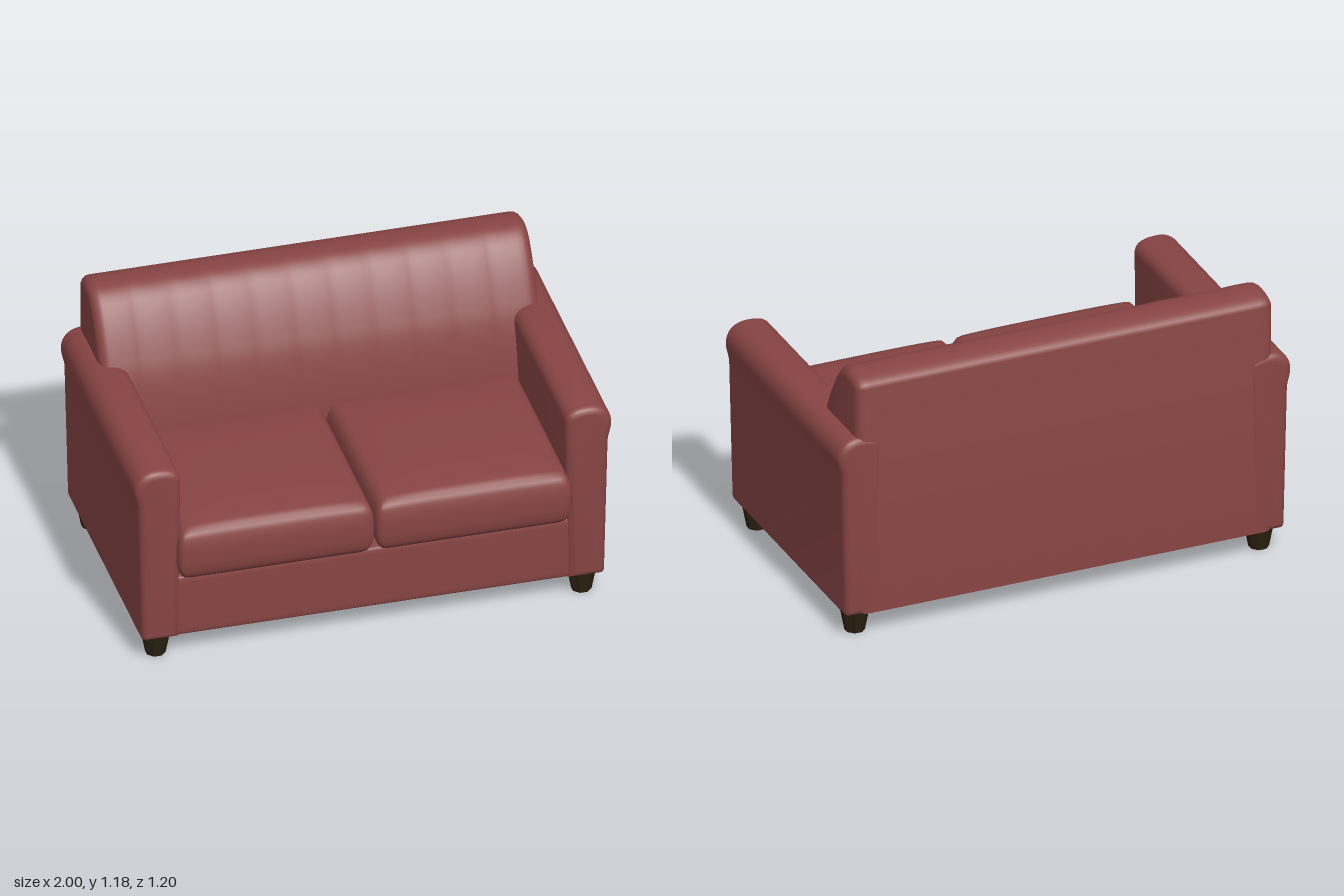
import * as THREE from 'three';
import { mergeVertices, toCreasedNormals } from 'three/addons/utils/BufferGeometryUtils.js';

const fabric = new THREE.MeshStandardMaterial({ color: 0x884444 });
fabric.name = 'red fabric';
const wood = new THREE.MeshStandardMaterial({ color: 0x2b2010 });
wood.name = 'dark wood';

function part(name, geometry, material) {
  const mesh = new THREE.Mesh(geometry, material);
  mesh.name = name;
  return mesh;
}

// Upholstered box with elliptical edge rounding and an optional domed top
function softBox(size, radius, crown = 0) {
  let g = new THREE.BoxGeometry(2, 2, 2, 24, 14, 24);
  g.deleteAttribute('uv');
  g.deleteAttribute('normal');
  g = mergeVertices(g);
  const pos = g.attributes.position;
  const half = size.map((s) => s / 2);
  for (let i = 0; i < pos.count; i++) {
    const unit = [pos.getX(i), pos.getY(i), pos.getZ(i)];
    // crowd the grid towards the edges, then round them
    const p = unit.map((t, k) => half[k] * Math.sin(t * Math.PI / 2));
    const inner = p.map((v, k) => THREE.MathUtils.clamp(v, radius[k] - half[k], half[k] - radius[k]));
    const dir = new THREE.Vector3(...p.map((v, k) => (v - inner[k]) / radius[k])).normalize().toArray();
    const out = inner.map((v, k) => v + dir[k] * radius[k]);
    if (out[1] > 0) {
      const u = out[0] / half[0], w = out[2] / half[2];
      out[1] += crown * (1 - u ** 4) * (1 - w ** 4) * out[1] / half[1];
    }
    pos.setXYZ(i, ...out);
  }
  g.computeVertexNormals();
  return g;
}

// Extrusion with rounded ends that keeps the outline's size
function extrude(shape, length, bevel, steps, curveSegments = 10) {
  const g = new THREE.ExtrudeGeometry(shape, {
    depth: length - 2 * bevel, steps, curveSegments,
    bevelThickness: bevel, bevelSize: bevel, bevelOffset: -bevel, bevelSegments: 4,
  });
  return g.translate(0, 0, bevel - length / 2);
}

// Arm: straight panel with a rounded, slightly flared top
function armGeometry() {
  const s = new THREE.Shape();
  s.moveTo(0.815, 0.105);
  s.lineTo(0.95, 0.105);
  s.quadraticCurveTo(0.97, 0.105, 0.97, 0.13);
  s.lineTo(0.985, 0.74);
  s.bezierCurveTo(0.99, 0.78, 1.0, 0.79, 1.0, 0.83);
  s.bezierCurveTo(0.995, 0.885, 0.955, 0.912, 0.905, 0.912);
  s.bezierCurveTo(0.86, 0.912, 0.805, 0.905, 0.805, 0.85);
  s.lineTo(0.815, 0.105);
  const g = extrude(s, 1.16, 0.03, 1).translate(0, 0, -0.02);
  return toCreasedNormals(g, 0.7);
}

// Back: side profile run across the width, with soft vertical channels in front
function backGeometry() {
  const s = new THREE.Shape();
  s.moveTo(-0.6, 0.11);
  s.lineTo(-0.2, 0.11);
  s.lineTo(-0.175, 0.58);
  s.bezierCurveTo(-0.19, 0.72, -0.22, 0.85, -0.255, 0.92);
  s.bezierCurveTo(-0.30, 1.02, -0.345, 1.09, -0.38, 1.13);
  s.bezierCurveTo(-0.42, 1.17, -0.45, 1.178, -0.485, 1.178);
  s.bezierCurveTo(-0.54, 1.178, -0.595, 1.16, -0.597, 1.13);
  s.lineTo(-0.6, 0.11);
  const g = extrude(s, 1.84, 0.04, 90).rotateY(-Math.PI / 2);
  const pos = g.attributes.position;
  for (let i = 0; i < pos.count; i++) {
    const front = THREE.MathUtils.smoothstep(pos.getZ(i), -0.52, -0.4);
    const rib = Math.abs(Math.cos(pos.getX(i) * Math.PI / 0.165)) ** 0.6 - 1;
    pos.setZ(i, pos.getZ(i) + 0.006 * rib * front);
  }
  return toCreasedNormals(g, 0.7);
}

export function createModel() {
  const sofa = new THREE.Group();
  sofa.name = 'sofa';

  const base = part('base', softBox([1.7, 0.285, 1.13], [0.02, 0.02, 0.02]), fabric);
  base.position.set(0, 0.2475, -0.02);
  sofa.add(base, part('backrest', backGeometry(), fabric));

  // Arms
  const arm = armGeometry();
  const leftArm = part('leftArm', arm, fabric);
  const rightArm = part('rightArm', arm, fabric);
  rightArm.rotation.y = Math.PI;
  rightArm.position.z = -0.04;
  sofa.add(leftArm, rightArm);

  // Seat cushions
  const cushion = softBox([0.828, 0.23, 0.83], [0.045, 0.1, 0.04], 0.032);
  // Legs: tapered, eight-sided
  const legShape = new THREE.CylinderGeometry(0.064, 0.042, 0.115, 8, 1).rotateY(Math.PI / 8);
  const leg = toCreasedNormals(legShape, 0.3);
  for (const [side, sx] of [['left', 1], ['right', -1]]) {
    const seat = part(side + 'SeatCushion', cushion, fabric);
    seat.position.set(sx * 0.414, 0.505, 0.182);
    sofa.add(seat);
    for (const [end, z] of [['Front', 0.47], ['Back', -0.505]]) {
      const foot = part(side + end + 'Leg', leg, wood);
      foot.position.set(sx * 0.892, 0.0575, z);
      sofa.add(foot);
    }
  }
  return sofa;
}
